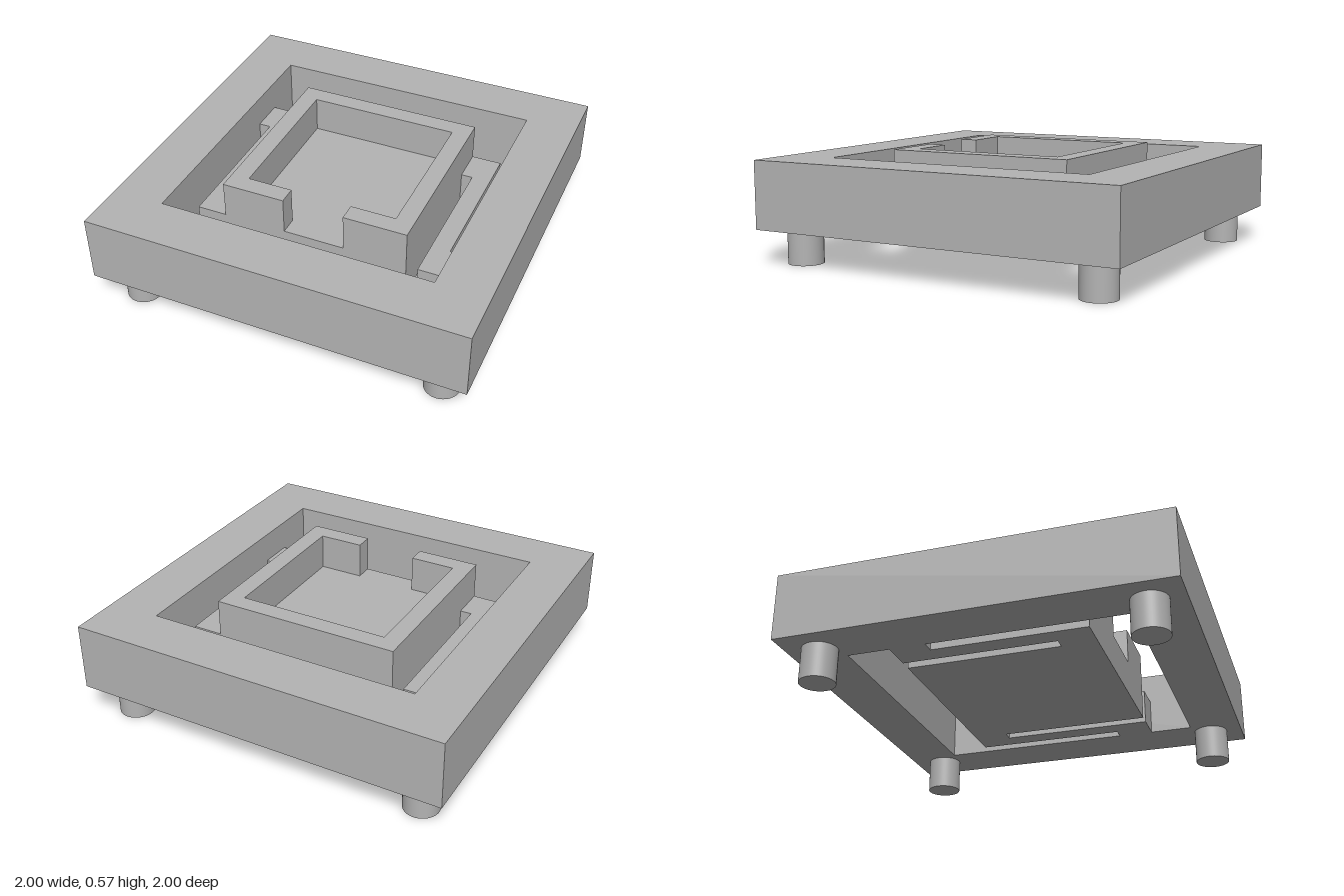
import * as THREE from 'three';

const BOTTOM = 0.183, FRAME_TOP = 0.538, FLOOR_TOP = 0.375, RIM_TOP = 0.57;

// Shape or hole from [x, z] points as seen from above
const toPoints = (pts) => pts.map(([x, z]) => new THREE.Vector2(x, -z));
const square = (r) => [[-r, r], [r, r], [r, -r], [-r, -r]];

// Upright slab with the given plan, from height y0 to y1
function slab(name, material, y0, y1, outline, hole) {
  const shape = new THREE.Shape(toPoints(outline));
  if (hole) shape.holes.push(new THREE.Path(toPoints(hole)));
  const geometry = new THREE.ExtrudeGeometry(shape, { depth: y1 - y0, bevelEnabled: false });
  geometry.rotateX(-Math.PI / 2).translate(0, y0, 0);
  const mesh = new THREE.Mesh(geometry, material);
  mesh.name = name;
  return mesh;
}

export function createModel() {
  const group = new THREE.Group();
  group.name = 'flexureStage';
  const grey = new THREE.MeshStandardMaterial({ color: 0xb3b3b3 });
  grey.name = 'grey';

  // Square outer frame
  group.add(slab('outerFrame', grey, BOTTOM, FRAME_TOP, square(1), square(0.725)));

  // Tray floor with a folded spring arm on each side, alike under a half turn
  const half = [
    [0.66, -0.5], [0.66, 0.31], [0.725, 0.31], [0.725, 0.5],
    [0.56, 0.5], [0.56, -0.315], [0.5, -0.315], [0.5, 0.5],
  ];
  const plate = [...half, ...half.map(([x, z]) => [-x, -z])];
  group.add(slab('floorAndSpringArms', grey, BOTTOM, FLOOR_TOP, plate));

  // Tray rim, open in the middle of the front
  const o = 0.5, i = 0.403, gap = 0.163;
  const rim = [[gap, o], [o, o], [o, -o], [-o, -o], [-o, o], [-gap, o],
    [-gap, i], [-i, i], [-i, -i], [i, -i], [i, i], [gap, i]];
  group.add(slab('trayRim', grey, FLOOR_TOP, RIM_TOP, rim));

  // Round feet
  const footGeometry = new THREE.CylinderGeometry(0.092, 0.092, BOTTOM, 48);
  for (const x of [-0.826, 0.826]) {
    for (const z of [-0.826, 0.826]) {
      const foot = new THREE.Mesh(footGeometry, grey);
      foot.name = 'foot';
      foot.position.set(x, BOTTOM / 2, z);
      group.add(foot);
    }
  }
  return group;
}
